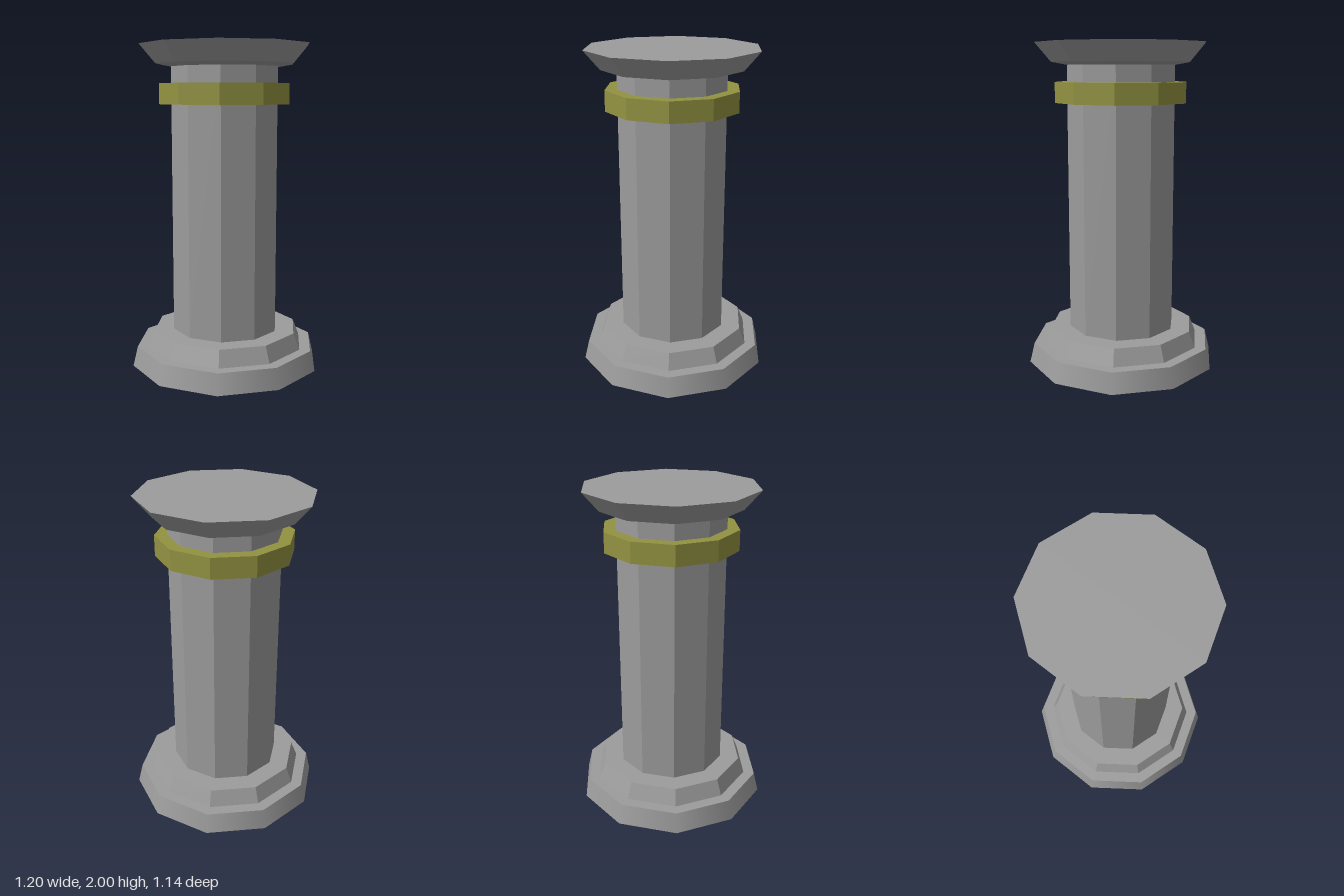
import * as THREE from 'three';

const SIDES = 10;

export function createModel() {
  const group = new THREE.Group();
  group.name = 'column';

  const stone = new THREE.MeshStandardMaterial({ color: 0x9c9c9c, flatShading: true });
  const smoothStone = new THREE.MeshStandardMaterial({ color: 0x9c9c9c });
  const olive = new THREE.MeshStandardMaterial({ color: 0x939342, flatShading: true });

  // Ten-sided tier from y0 to y1, with corners on the x axis
  function tier(name, y0, y1, bottomRadius, topRadius, material) {
    const geometry = new THREE.CylinderGeometry(
      topRadius, bottomRadius, y1 - y0, SIDES, 1, false, Math.PI / 2);
    const mesh = new THREE.Mesh(geometry, material);
    mesh.name = name;
    mesh.position.y = (y0 + y1) / 2;
    group.add(mesh);
  }

  // Stepped foot
  tier('basePlinth', 0, 0.125, 0.6, 0.57, smoothStone);
  tier('baseStep', 0.125, 0.225, 0.5, 0.46, stone);

  // Shaft and its coloured band
  tier('shaft', 0.225, 1.868, 0.337, 0.337, stone);
  tier('band', 1.642, 1.767, 0.412, 0.412, olive);

  // Flared capital with a shallow sloping underside
  tier('capitalUnderside', 1.868, 1.885, 0.337, 0.432, stone);
  tier('capital', 1.885, 2, 0.432, 0.53, stone);

  return group;
}
